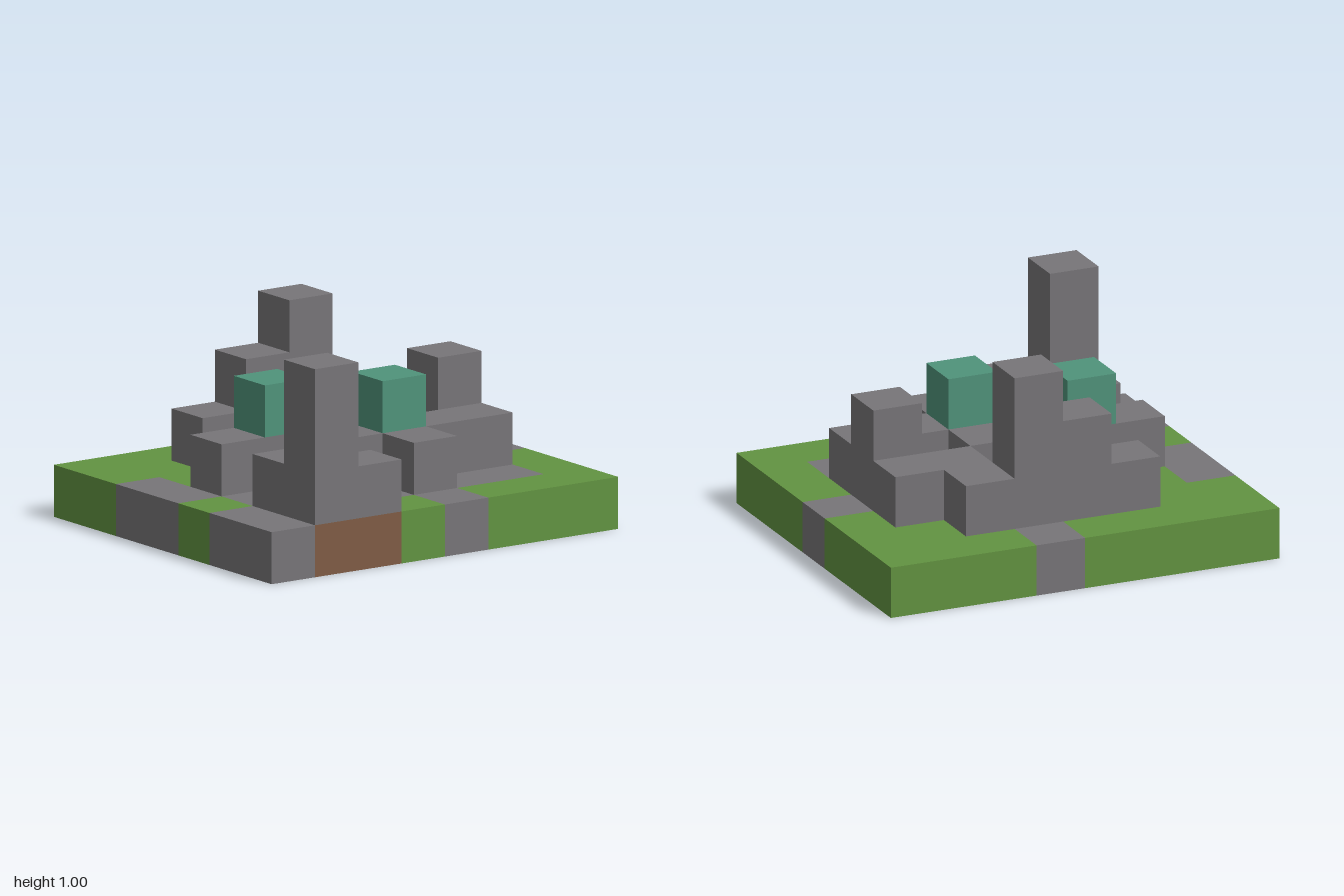
import * as THREE from 'three';
import { mergeGeometries } from 'three/addons/utils/BufferGeometryUtils.js';

const S = 0.25; // block edge

// Layers from the ground up; rows run back to front, columns along +x.
// g grass, s stone, d dirt, t teal, . empty
const LAYERS = [
  ['ggggsggg', 'ggddddgg', 'sgsgsddg', 'sddgdsds', 'gssddddg', 'sdgsdssg', 'sddgsggg'],
  ['........', '..ssss..', '.....ss.', '.ss.s.s.', '...ssss.', '.s..s...', '.ss.....'],
  ['........', '...ss...', '........', '..t...s.', '....t...', '........', '.s......'],
  ['........', '....s...', '........', '........', '........', '........', '.s......'],
];

const at = (c, l, r) => LAYERS[l]?.[r]?.[c] ?? '.';

// Outward block sides: neighbour step and the rotation of a plane facing it
const SIDES = [
  [1, 0, 0, 0, Math.PI / 2], [-1, 0, 0, 0, -Math.PI / 2],
  [0, 1, 0, -Math.PI / 2, 0], [0, -1, 0, Math.PI / 2, 0],
  [0, 0, 1, 0, 0], [0, 0, -1, 0, Math.PI],
];

// Exposed faces of every block of one kind within a range of layers
function blocks(kind, from, to) {
  const faces = [];
  for (let l = from; l <= to; l++)
    for (let r = 0; r < 7; r++)
      for (let c = 0; c < 8; c++) {
        if (at(c, l, r) !== kind) continue;
        for (const [dx, dy, dz, rx, ry] of SIDES) {
          if (at(c + dx, l + dy, r + dz) !== '.') continue;
          const face = new THREE.PlaneGeometry(S, S);
          face.rotateX(rx).rotateY(ry);
          face.translate(
            (c - 3.5 + dx / 2) * S,
            (l + 0.5 + dy / 2) * S,
            (r - 3 + dz / 2) * S,
          );
          faces.push(face);
        }
      }
  return mergeGeometries(faces);
}

function material(name, color) {
  const m = new THREE.MeshStandardMaterial({ color });
  m.name = name;
  return m;
}

export function createModel() {
  const group = new THREE.Group();
  group.name = 'blockRuins';

  const grass = material('grass', 0x629341);
  const stone = material('stone', 0x777578);
  const dirt = material('dirt', 0x7f5c45);
  const teal = material('teal', 0x50937b);

  const add = (name, mat, kind, from, to) => {
    const mesh = new THREE.Mesh(blocks(kind, from, to), mat);
    mesh.name = name;
    group.add(mesh);
  };

  // Ground slab
  add('grassGround', grass, 'g', 0, 0);
  add('stonePaving', stone, 's', 0, 0);
  add('dirtFoundation', dirt, 'd', 0, 0);
  // Walls, towers and accent blocks
  add('stoneWalls', stone, 's', 1, 3);
  add('tealBlocks', teal, 't', 1, 3);

  return group;
}
